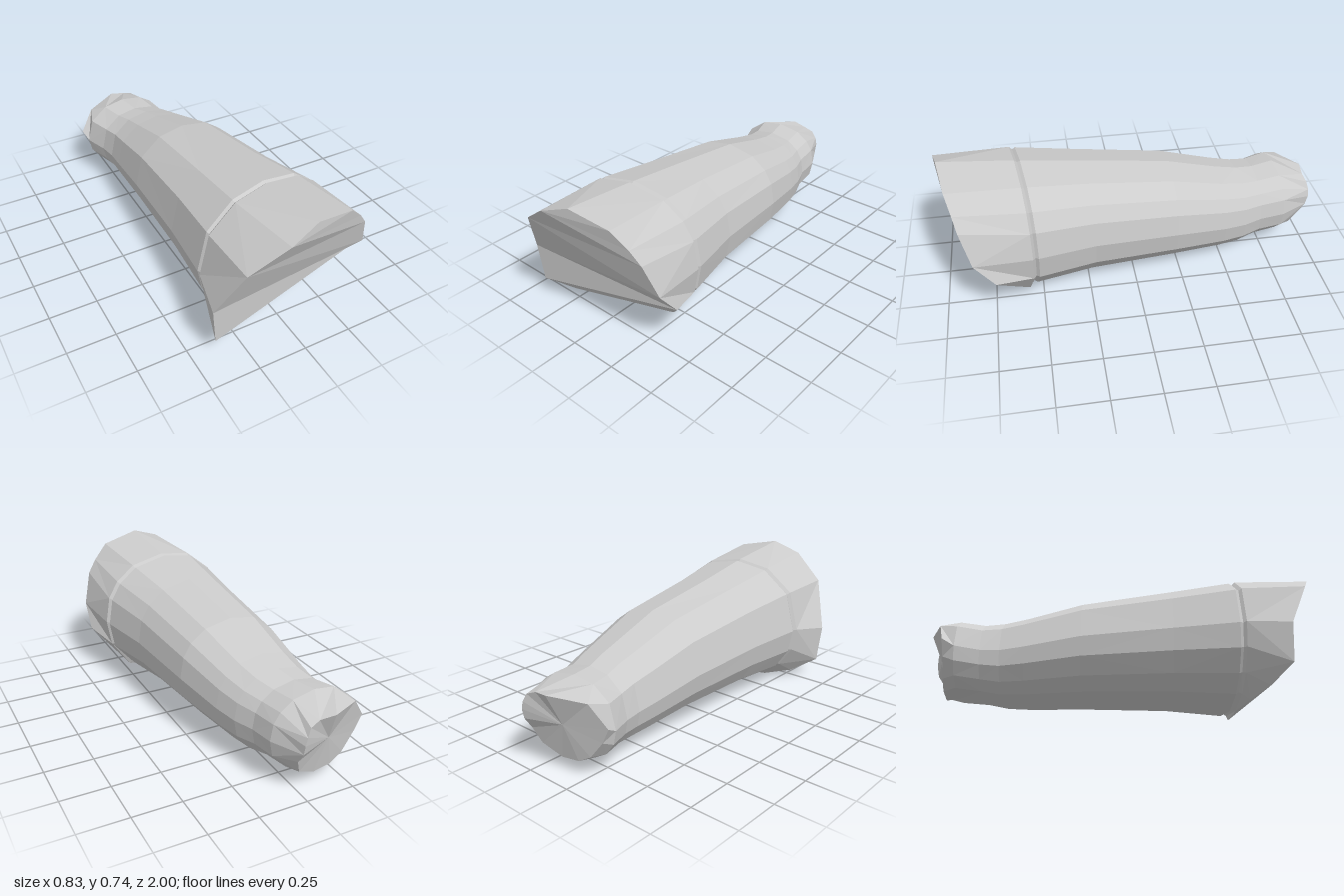
import * as THREE from 'three';

// Angles (degrees, clockwise from the top) of the columns shared by every ring
const ANGLES = [0, 28, 50, 68, 90, 112, 145, 180, 205, 226, 248, 268, 302, 334];
const N = ANGLES.length;

// Slanted rim of the wide front end
const FRONT_RIM = [
  [0.02, 0.735, 0.97], [0.23, 0.69, 0.93], [0.31, 0.61, 0.9], [0.36, 0.54, 0.88], [0.41, 0.37, 0.83],
  [0.415, 0.245, 0.73], [0.24, 0.04, 0.57], [0.01, 0, 0.6], [-0.16, 0.005, 0.65], [-0.28, 0.03, 0.74],
  [-0.395, 0.1, 0.84], [-0.415, 0.3, 0.85], [-0.31, 0.55, 0.95], [-0.13, 0.68, 1],
];

// Rim of the narrow back end
const BACK_RIM = [
  [-0.05, 0.4, -0.98], [0, 0.38, -0.99], [0.02, 0.34, -1], [0.03, 0.3, -1], [0.03, 0.25, -0.99],
  [0.03, 0.19, -0.95], [0, 0.11, -0.92], [-0.1, 0.06, -0.89], [-0.2, 0.07, -0.88], [-0.27, 0.11, -0.87],
  [-0.34, 0.2, -0.86], [-0.38, 0.28, -0.86], [-0.3, 0.39, -0.9], [-0.13, 0.41, -0.99],
];

// Cross-sections: z, xMin, xMax, yMin, yMax, slant of z along x
const SECTIONS = [
  [0.59, -0.37, 0.38, 0.005, 0.695, -0.13],
  [0.575, -0.357, 0.362, 0.015, 0.68, -0.13],
  [0.56, -0.365, 0.372, 0.005, 0.69, -0.13],
  [0.25, -0.34, 0.31, 0.03, 0.645, -0.1],
  [-0.2, -0.325, 0.262, 0.042, 0.582, -0.06],
  [-0.48, -0.31, 0.2, 0.035, 0.5, -0.04],
  [-0.6, -0.305, 0.165, 0.036, 0.47, -0.04],
  [-0.7, -0.32, 0.125, 0.05, 0.45, -0.05],
  [-0.83, -0.365, 0.11, 0.057, 0.455, -0.08],
];

// Slightly squared oval fitted to the section's bounds
function sectionRing([z, x0, x1, y0, y1, slant]) {
  const soft = (v) => Math.sign(v) * Math.abs(v) ** 0.9;
  return ANGLES.map((deg) => {
    const a = THREE.MathUtils.degToRad(deg);
    const x = (x0 + x1) / 2 + soft(Math.sin(a)) * (x1 - x0) / 2;
    const y = (y0 + y1) / 2 + soft(Math.cos(a)) * (y1 - y0) / 2;
    return [x, y, z + slant * x];
  });
}

function meshFrom(name, points, index) {
  const geometry = new THREE.BufferGeometry();
  geometry.setAttribute('position', new THREE.Float32BufferAttribute(points.flat(), 3));
  geometry.setIndex(index);
  geometry.computeVertexNormals();
  const mesh = new THREE.Mesh(geometry,
    new THREE.MeshStandardMaterial({ color: 0xcccccc, flatShading: true }));
  mesh.name = name;
  return mesh;
}

// Skin joining consecutive rings from front to back
function loft(name, rings) {
  const index = [];
  for (let j = 0; j < rings.length - 1; j++) {
    for (let i = 0; i < N; i++) {
      const k = (i + 1) % N;
      const a = j * N + i, b = j * N + k, c = a + N, d = b + N;
      if ((i + j) % 2) index.push(a, b, c, b, d, c);
      else index.push(a, b, d, a, d, c);
    }
  }
  return meshFrom(name, rings.flat(), index);
}

export function createModel() {
  const group = new THREE.Group();
  group.name = 'forearm';
  const rings = SECTIONS.map(sectionRing);

  // Flared cuff, grooved band, and the tapering arm down to the wrist
  group.add(loft('cuff', [FRONT_RIM, rings[0]]));
  group.add(loft('bandGroove', rings.slice(0, 3)));
  group.add(loft('arm', rings.slice(2, 8)));
  group.add(loft('wrist', [...rings.slice(7), BACK_RIM]));

  // Front cap: zigzag strip across the slanted rim
  const strip = [[6, 7, 8], [6, 8, 9], [6, 9, 10], [5, 6, 10], [5, 10, 11], [4, 5, 11],
    [4, 11, 12], [3, 4, 12], [3, 12, 13], [2, 3, 13], [1, 2, 13], [0, 1, 13]];
  group.add(meshFrom('elbowCap', FRONT_RIM, strip.flatMap(([a, b, c]) => [a, c, b])));

  // Back cap: fan around a slightly sunken centre
  const fan = [];
  for (let i = 0; i < N; i++) fan.push(i, (i + 1) % N, N);
  group.add(meshFrom('wristCap', [...BACK_RIM, [-0.15, 0.25, -0.92]], fan));

  return group;
}
